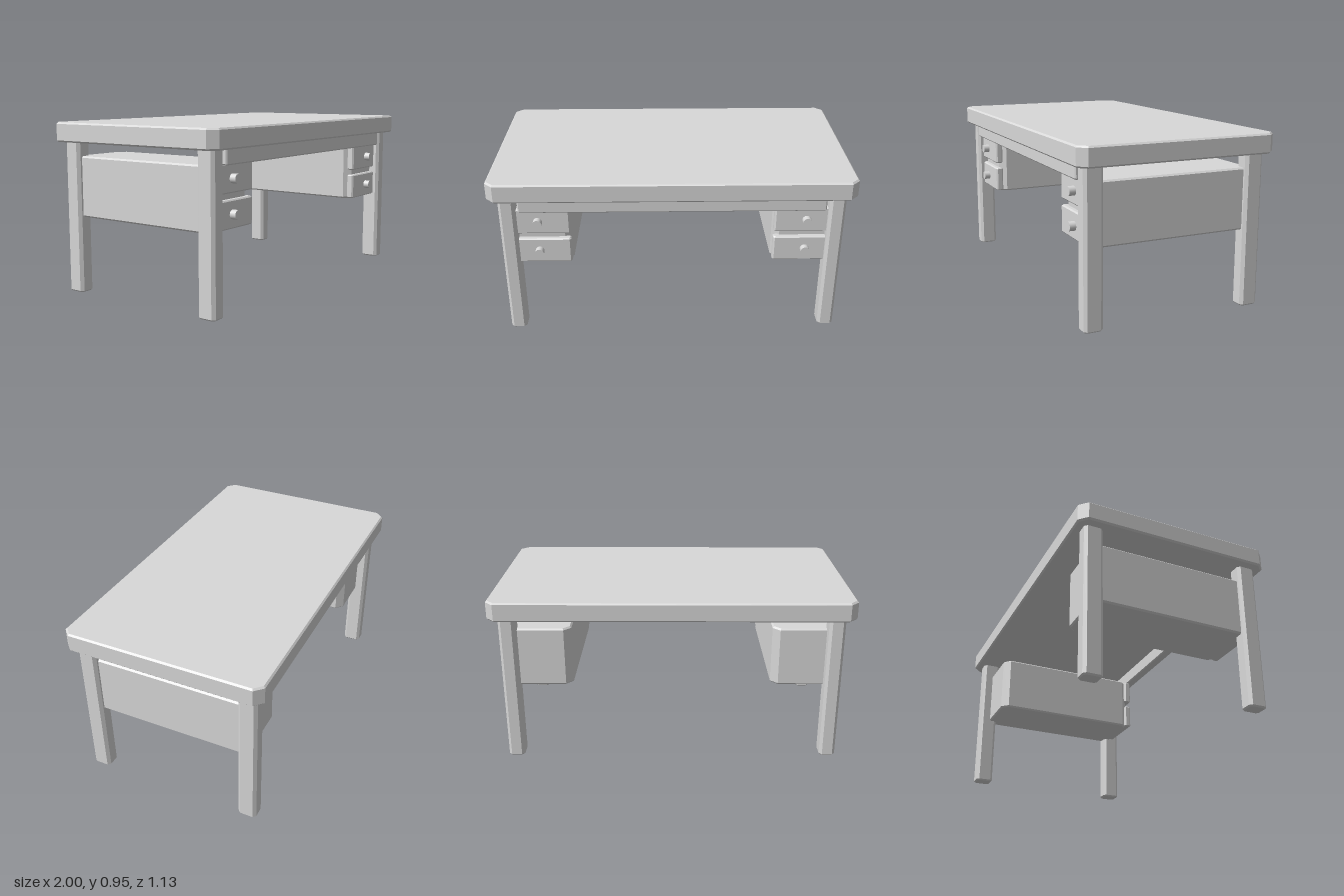
import * as THREE from 'three';

// Upright block: rectangular footprint with all four corners cut by `cut`,
// bevelled top and bottom.
function block([x0, x1], [y0, y1], [z0, z1], cut, bevel) {
  const points = [
    [x0, z0 + cut], [x0 + cut, z0], [x1 - cut, z0], [x1, z0 + cut],
    [x1, z1 - cut], [x1 - cut, z1], [x0 + cut, z1], [x0, z1 - cut],
  ].map(([x, z]) => new THREE.Vector2(x, -z));
  const geometry = new THREE.ExtrudeGeometry(new THREE.Shape(points), {
    depth: y1 - y0 - 2 * bevel,
    bevelEnabled: true, bevelSegments: 1,
    bevelThickness: bevel, bevelSize: bevel, bevelOffset: -bevel,
  });
  geometry.rotateX(-Math.PI / 2);
  geometry.translate(0, y0 + bevel, 0);
  return geometry;
}

export function createModel() {
  const desk = new THREE.Group();
  desk.name = 'desk';
  const grey = new THREE.MeshStandardMaterial({ color: 0xd8d8d8 });
  grey.name = 'plain grey';

  const add = (name, geometry) => {
    const mesh = new THREE.Mesh(geometry, grey);
    mesh.name = name;
    desk.add(mesh);
    return mesh;
  };

  // Thick top with cut corners
  add('top', block([-1, 1], [0.845, 0.953], [-0.564, 0.564], 0.045, 0.009));

  // Rail below the front edge
  add('frontRail', block([-0.84, 0.84], [0.763, 0.86], [0.46, 0.52], 0.007, 0.007));

  for (const [label, side] of [['left', 1], ['right', -1]]) {
    const span = (inner, outer) => (side > 0 ? [inner, outer] : [-outer, -inner]);

    // Legs
    for (const [end, z] of [['Front', 0.465], ['Back', -0.465]]) {
      add(`${label}${end}Leg`,
        block(span(0.856, 0.946), [0, 0.87], [z - 0.053, z + 0.053], 0.016, 0.008));
    }

    // Drawer cabinet with cut corners
    add(`${label}Cabinet`,
      block(span(0.56, 0.92), [0.428, 0.767], [-0.457, 0.457], 0.04, 0.009));

    // Drawer fronts with round knobs
    for (const [row, y] of [['Upper', 0.69], ['Lower', 0.507]]) {
      add(`${label}${row}DrawerFront`,
        block(span(0.565, 0.918), [y - 0.075, y + 0.075], [0.44, 0.484], 0.009, 0.007));
      const knob = add(`${label}${row}Knob`, new THREE.CylinderGeometry(0.025, 0.025, 0.05, 24));
      knob.rotation.x = Math.PI / 2;
      knob.position.set(side * 0.743, y, 0.494);
    }
  }
  return desk;
}
